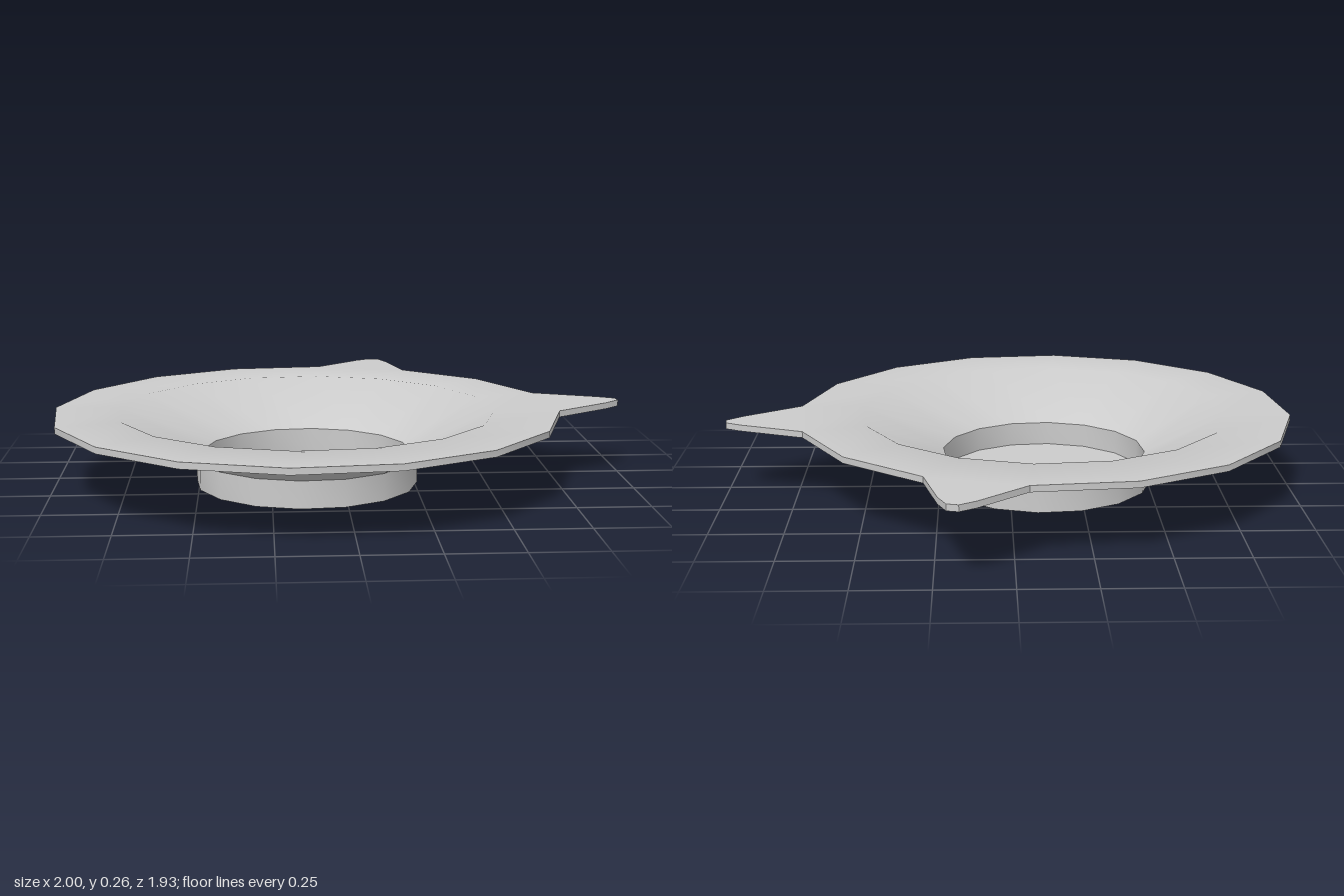
import * as THREE from 'three';
import { toCreasedNormals } from 'three/addons/utils/BufferGeometryUtils.js';

const SIDES = 16, START = THREE.MathUtils.degToRad(5.2);
const CENTER_X = -0.125, CENTER_Z = 0.083;
const RIM_LOW = 0.235, RIM_TOP = 0.257;

// Closed cross-section [radius, height]: underside, foot, flared wall, rim, inside, floor
const PROFILE = [
  [0, 0], [0.388, 0], [0.388, 0.095], [0.662, RIM_LOW], [0.88, RIM_LOW],
  [0.88, RIM_TOP], [0.655, RIM_TOP], [0.365, 0.11], [0.365, 0.025], [0, 0.025],
];
const RIM_EDGE = 4; // profile step that forms the outer edge

// Pointed ears [x, z], keyed by the rim segment each one grows from
const EARS = {
  12: [[0.118, -0.94], [0.17, -0.973], [0.208, -0.963], [0.235, -0.9]],
  15: [[0.94, -0.09], [0.995, -0.06], [1, -0.025], [0.945, 0.027]],
};

function ringPoint([r, y], i) {
  const a = START + (i % SIDES) * Math.PI * 2 / SIDES;
  return [CENTER_X + r * Math.cos(a), y, CENTER_Z + r * Math.sin(a)];
}

function bowlGeometry() {
  const pos = [];
  const tri = (a, b, c) => pos.push(...a, ...b, ...c);

  for (let i = 0; i < SIDES; i++) {
    // Sweep the profile, leaving the edge open where an ear joins
    for (let j = 0; j < PROFILE.length - 1; j++) {
      if (j === RIM_EDGE && EARS[i]) continue;
      const p = PROFILE[j], q = PROFILE[j + 1];
      const a = ringPoint(p, i), b = ringPoint(q, i);
      const c = ringPoint(q, i + 1), d = ringPoint(p, i + 1);
      if (q[0] > 0) tri(a, b, c);
      if (p[0] > 0) tri(a, c, d);
    }
    // Ear: top, underside and edge band
    if (EARS[i]) {
      const ends = [i, i + 1].map(k => ringPoint(PROFILE[RIM_EDGE], k));
      const outline = [[ends[0][0], ends[0][2]], ...EARS[i], [ends[1][0], ends[1][2]]];
      const low = outline.map(([x, z]) => [x, RIM_LOW, z]);
      const top = outline.map(([x, z]) => [x, RIM_TOP, z]);
      for (let k = 0; k < outline.length - 1; k++) {
        if (k > 0) {
          tri(top[0], top[k + 1], top[k]);
          tri(low[0], low[k], low[k + 1]);
        }
        tri(low[k], top[k], top[k + 1]);
        tri(low[k], top[k + 1], low[k + 1]);
      }
    }
  }
  const geometry = new THREE.BufferGeometry();
  geometry.setAttribute('position', new THREE.Float32BufferAttribute(pos, 3));
  return toCreasedNormals(geometry, 0.6);
}

export function createModel() {
  const model = new THREE.Group();
  model.name = 'earedBowl';
  const bowl = new THREE.Mesh(bowlGeometry(), new THREE.MeshStandardMaterial({ color: 0xcccccc }));
  bowl.name = 'bowl';
  model.add(bowl);
  return model;
}
